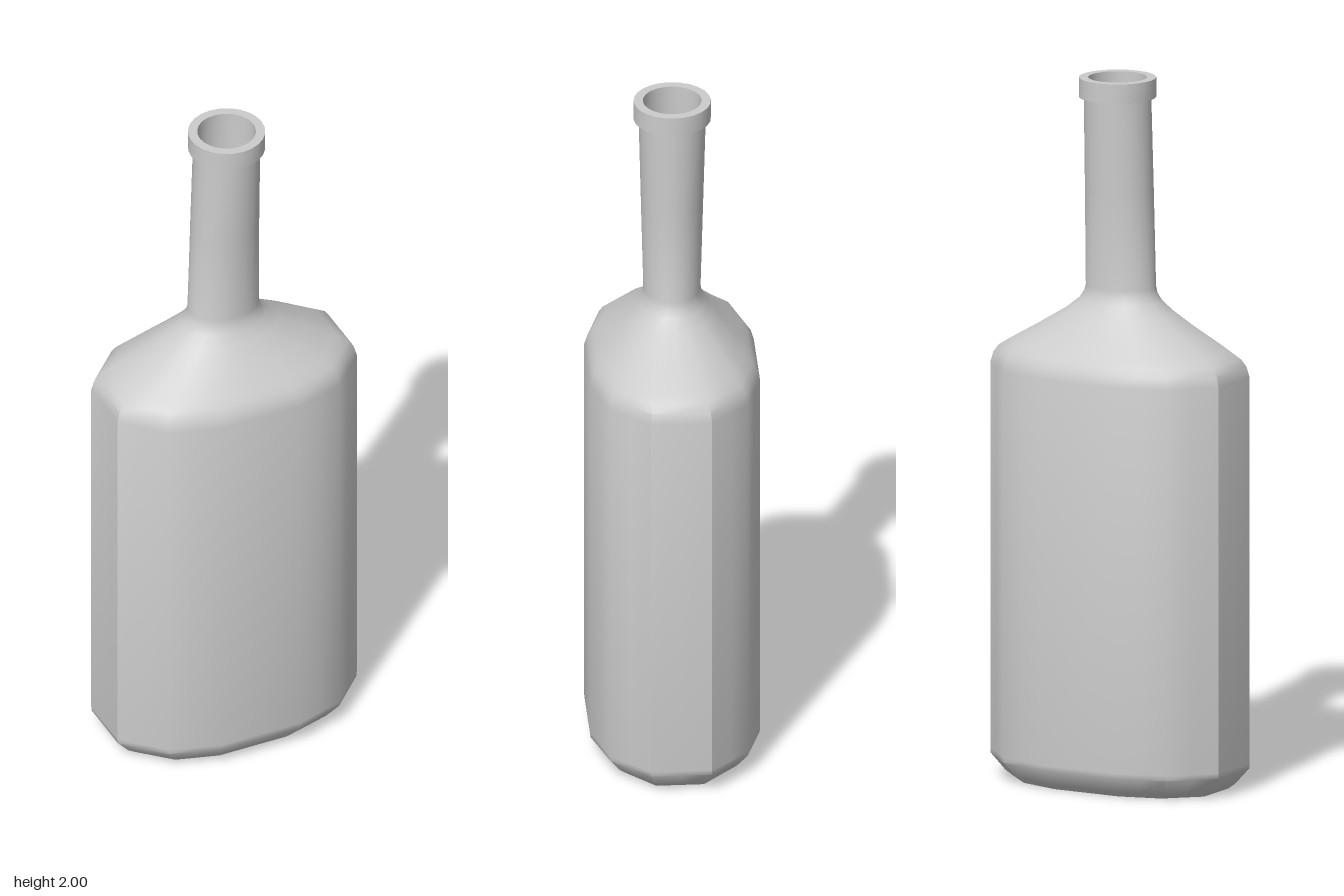
import * as THREE from 'three';
import { toCreasedNormals } from 'three/addons/utils/BufferGeometryUtils.js';

const SIDES = 24;
const material = new THREE.MeshStandardMaterial({ color: 0xcccccc });

// Unit outline of the flat body: twelve corners with a midpoint on every edge
const quarter = [[1, 0.36], [0.716, 0.815], [0.332, 1]];
const mirrorX = (pts) => pts.map(([x, z]) => [-x, z]).reverse();
const mirrorZ = (pts) => pts.map(([x, z]) => [x, -z]).reverse();
const half = [...quarter, ...mirrorX(quarter)];
const corners = [...half, ...mirrorZ(half)];
const outline = corners.flatMap(([x, z], i) => {
  const [nx, nz] = corners[(i + 1) % corners.length];
  return [[x, z], [(x + nx) / 2, (z + nz) / 2]];
});

// One ring: y, half width, half depth, x offset, and how round it is (0 body, 1 ellipse)
function ring([y, rx, rz, cx = 0, round = 0]) {
  return outline.map(([px, pz], j) => {
    const a = ((j + 1) / SIDES) * Math.PI * 2;
    return [
      cx + rx * THREE.MathUtils.lerp(px, Math.cos(a), round), y,
      rz * THREE.MathUtils.lerp(pz, Math.sin(a), round),
    ];
  });
}

// Skin the rings in order, optionally closing the first and last
function loft(name, sections, capStart, capEnd, crease = 0.7) {
  const pos = sections.flatMap((s) => ring(s).flat());
  const index = [];
  for (let i = 0; i < sections.length - 1; i++) {
    for (let j = 0; j < SIDES; j++) {
      const a = i * SIDES + j, b = i * SIDES + ((j + 1) % SIDES);
      index.push(a, a + SIDES, b, b, a + SIDES, b + SIDES);
    }
  }
  const cap = (row, flip) => {
    const [y, , , cx = 0] = sections[row];
    const c = pos.length / 3;
    pos.push(cx, y, 0);
    for (let j = 0; j < SIDES; j++) {
      const a = row * SIDES + j, b = row * SIDES + ((j + 1) % SIDES);
      index.push(c, flip ? b : a, flip ? a : b);
    }
  };
  if (capStart) cap(0, false);
  if (capEnd) cap(sections.length - 1, true);
  const geo = new THREE.BufferGeometry();
  geo.setAttribute('position', new THREE.Float32BufferAttribute(pos, 3));
  geo.setIndex(index);
  const mesh = new THREE.Mesh(toCreasedNormals(geo, crease), material);
  mesh.name = name;
  return mesh;
}

export function createModel() {
  const bottle = new THREE.Group();
  bottle.name = 'bottle';

  // Bevelled base, straight flanks, sloping shoulder and slim neck
  bottle.add(loft('body', [
    [0, 0.31, 0.185],
    [0.015, 0.33, 0.2],
    [0.06, 0.368, 0.236],
    [0.075, 0.369, 0.237],
    [1.17, 0.369, 0.237],
    [1.2, 0.361, 0.228],
    [1.22, 0.347, 0.215],
    [1.24, 0.318, 0.198, 0, 0.1],
    [1.29, 0.235, 0.155, 0, 0.3],
    [1.34, 0.158, 0.113, -0.002, 0.6],
    [1.37, 0.122, 0.092, -0.003, 0.8],
    [1.39, 0.109, 0.083, -0.003, 0.9],
    [1.41, 0.104, 0.08, -0.003, 1],
    [1.68, 0.099, 0.087, 0.002, 1],
    [1.95, 0.094, 0.094, 0.008, 1],
  ], true, false));

  // Collar around the mouth
  bottle.add(loft('lip', [
    [1.945, 0.09, 0.09, 0.008, 1],
    [1.945, 0.108, 0.108, 0.008, 1],
    [2, 0.108, 0.108, 0.008, 1],
    [2, 0.082, 0.082, 0.008, 1],
  ], false, false));

  // Hollow of the neck with its floor
  bottle.add(loft('neckInterior', [
    [2, 0.082, 0.082, 0.008, 1],
    [1.94, 0.082, 0.082, 0.008, 1],
    [1.42, 0.09, 0.067, -0.004, 1],
  ], false, true));

  return bottle;
}
